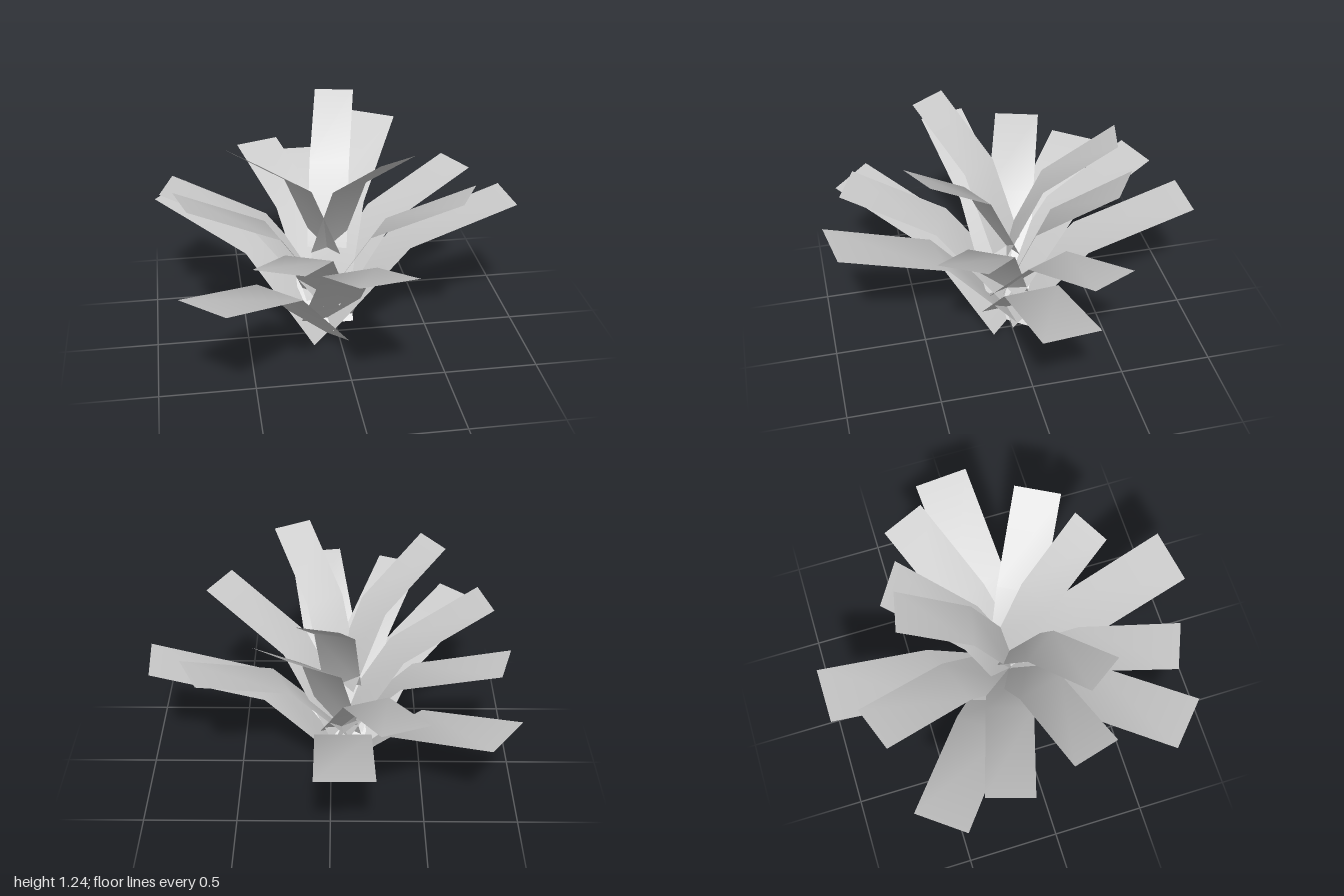
import * as THREE from 'three';

// Shared root axis of the plant
const ROOT_X = -0.06;
const ROOT_Z = 0.015;

// A leaf is a thin strip in two straight halves, bent at the middle.
// Its tip centre is (x, y, z); it starts on the root axis at height base.
function makeLeaf(name, width, base, [x, y, z], material) {
  const dx = x - ROOT_X;
  const dz = z - ROOT_Z;
  const reach = Math.hypot(dx, dz);
  const rise = y - base;
  const bulge = 0.13; // bend height as a share of the leaf's chord
  const rows = [
    [0, 0],
    [reach / 2 - bulge * rise, rise / 2 + bulge * reach],
    [reach, rise],
  ];

  const geometry = new THREE.PlaneGeometry(width, 1, 1, 2);
  const position = geometry.attributes.position;
  for (let i = 0; i < position.count; i++) {
    const [out, up] = rows[Math.floor(i / 2)];
    position.setXYZ(i, position.getX(i), up, out);
  }
  geometry.computeVertexNormals();

  const leaf = new THREE.Mesh(geometry, material);
  leaf.name = name;
  leaf.position.set(ROOT_X, base, ROOT_Z);
  leaf.rotation.y = Math.atan2(dx, dz);
  return leaf;
}

export function createModel() {
  const model = new THREE.Group();
  model.name = 'leafyPlant';
  const material = new THREE.MeshStandardMaterial({ color: 0xcccccc, side: THREE.DoubleSide });

  // Each whorl: leaf width, then leaves as [base height, tip centre]
  const whorls = [
    { name: 'lowerLeaf', width: 0.295, leaves: [
      [0.065, [-0.07, 0.71, -1.0]],
      [0, [-0.88, 0.66, -0.6]],
      [0, [-0.757, 0.66, 0.775]],
      [0.1, [0.1, 0.83, 0.966]],
      [0.1, [0.955, 0.75, -0.07]],
    ] },
    { name: 'middleLeaf', width: 0.253, leaves: [
      [0.24, [-0.36, 0.85, -0.8]],
      [0.24, [-0.897, 0.85, -0.24]],
      [0.24, [-0.83, 0.955, 0.22]],
      [0.24, [-0.397, 0.85, 0.828]],
      [0.24, [0.617, 0.97, 0.38]],
      [0.24, [0.722, 0.85, -0.345]],
      [0.24, [0.28, 1.09, -0.524]],
    ] },
    { name: 'upperLeaf', width: 0.213, leaves: [
      [0.54, [-0.54, 1.24, 0.34]],
      [0.54, [0.215, 1.24, 0.521]],
      [0.54, [0.06, 1.24, -0.533]],
    ] },
  ];

  for (const { name, width, leaves } of whorls) {
    leaves.forEach(([base, tip], i) => {
      model.add(makeLeaf(name + (i + 1), width, base, tip, material));
    });
  }
  return model;
}
